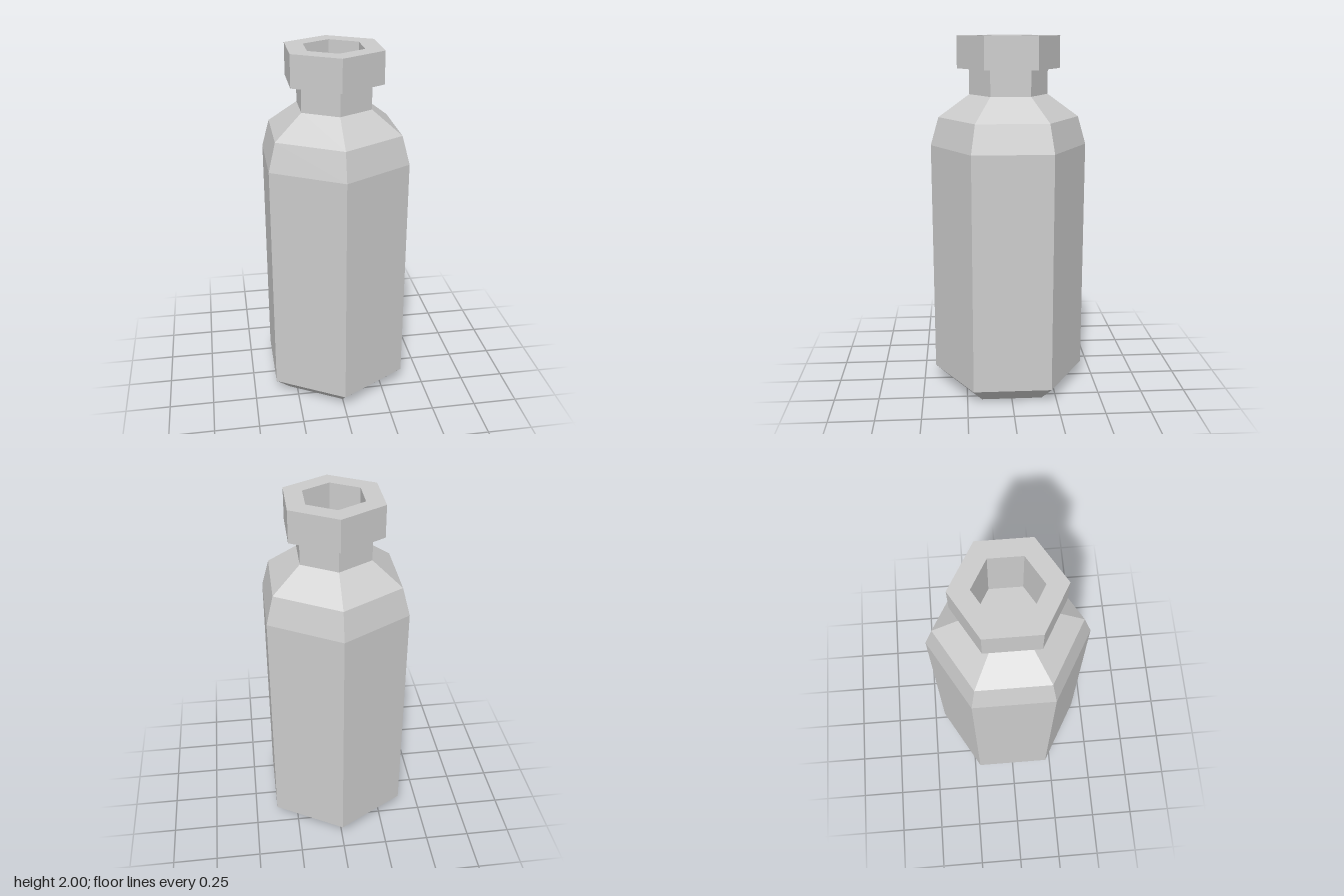
import * as THREE from 'three';

const SIDES = 6;

// Faceted hexagonal ring built from [radius, height] pairs
function hexPart(name, profile, material) {
  const points = profile.map(([r, y]) => new THREE.Vector2(r, y));
  const geometry = new THREE.LatheGeometry(points, SIDES).toNonIndexed();
  geometry.computeVertexNormals();
  const mesh = new THREE.Mesh(geometry, material);
  mesh.name = name;
  return mesh;
}

export function createModel() {
  const model = new THREE.Group();
  model.name = 'bottle';
  const material = new THREE.MeshStandardMaterial({ color: 0xcccccc, flatShading: true });

  // Base, chamfer, straight wall and two-step shoulder
  model.add(hexPart('body', [
    [0, 0], [0.338, 0], [0.433, 0.085], [0.433, 1.405], [0.388, 1.56], [0.216, 1.685],
  ], material));

  // Narrow neck
  model.add(hexPart('neck', [[0.216, 1.685], [0.216, 1.825]], material));

  // Wide collar with a flat rim
  model.add(hexPart('collar', [
    [0.216, 1.825], [0.282, 1.825], [0.282, 2], [0.173, 2],
  ], material));

  // Opening running down through the neck
  model.add(hexPart('opening', [[0.173, 2], [0.173, 1.68], [0, 1.68]], material));

  return model;
}
